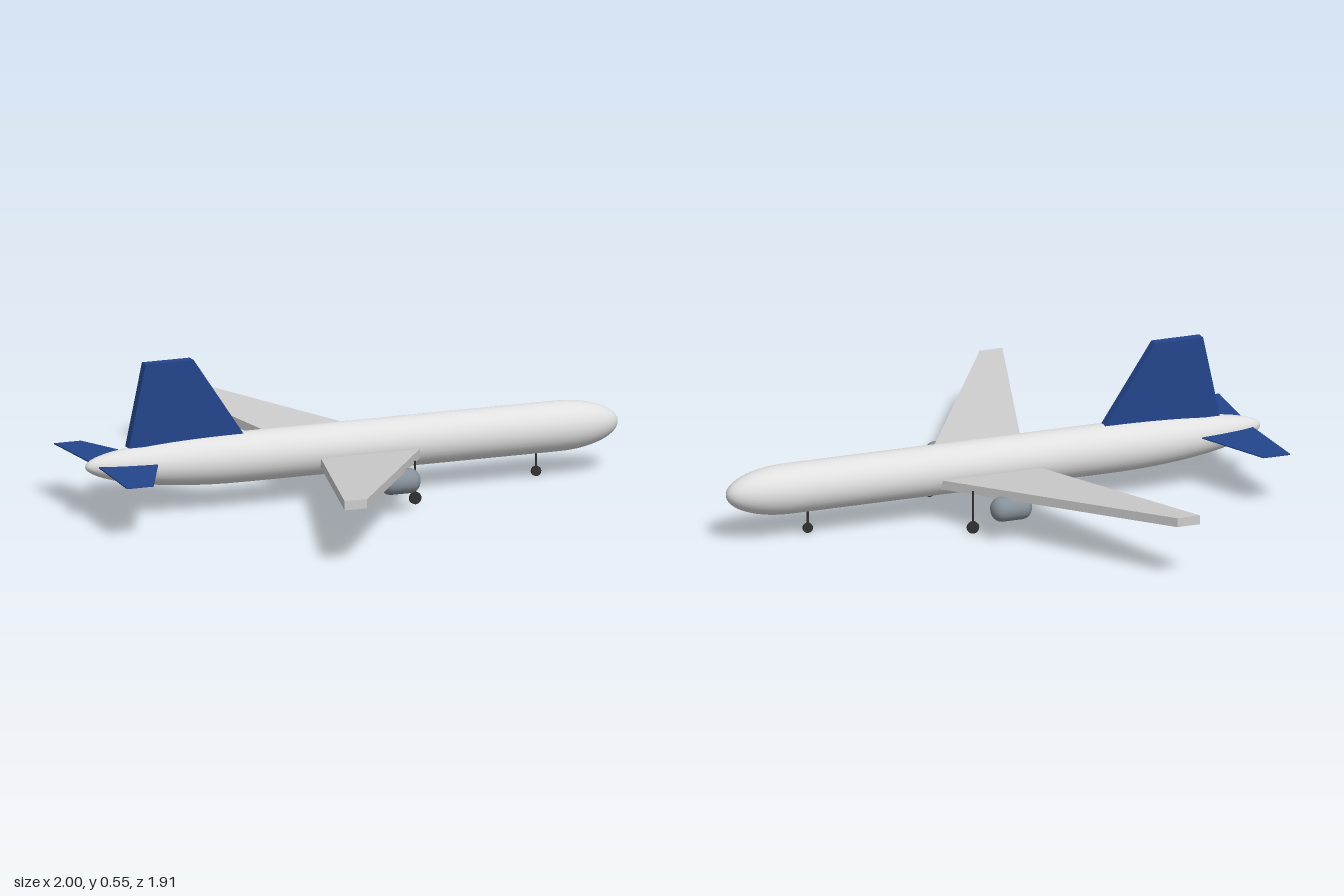
import * as THREE from 'three';

const paint = (name, color, side = THREE.FrontSide) => {
  const m = new THREE.MeshStandardMaterial({ color, side });
  m.name = name;
  return m;
};

// Round body along x: straight tube with an elliptical cap at each end
function roundBody(back, backCap, front, frontCap, radius, sides, steps) {
  const points = [];
  for (let i = 0; i <= steps; i++) {
    const a = (i / steps) * Math.PI / 2;
    points.push(new THREE.Vector2(radius * Math.sin(a), back + backCap * (1 - Math.cos(a))));
  }
  for (let i = 0; i <= steps; i++) {
    const a = (i / steps) * Math.PI / 2;
    points.push(new THREE.Vector2(radius * Math.cos(a), front - frontCap * (1 - Math.sin(a))));
  }
  return new THREE.LatheGeometry(points, sides).rotateZ(-Math.PI / 2);
}

// Flat surface from a plan of [x, z] corners, rising outward by slope
function slab(plan, side, bottom, thickness, slope) {
  const shape = new THREE.Shape(plan.map(([x, z]) => new THREE.Vector2(x, z * side)));
  const geo = new THREE.ExtrudeGeometry(shape, { depth: thickness, bevelEnabled: false });
  geo.rotateX(Math.PI / 2);
  const p = geo.attributes.position;
  for (let i = 0; i < p.count; i++) {
    p.setY(i, p.getY(i) + bottom + thickness + slope * Math.abs(p.getZ(i)));
  }
  geo.computeVertexNormals();
  return geo;
}

export function createModel() {
  const model = new THREE.Group();
  model.name = 'airliner';
  const bodyGrey = paint('bodyGrey', 0xe0e0e0);
  const wingGrey = paint('wingGrey', 0xcccccc);
  const tailBlue = paint('tailBlue', 0x24468c);
  const engineGrey = paint('engineGrey', 0x87909a);
  const gearBlack = paint('gearBlack', 0x303030);

  const add = (name, geo, mat, x = 0, y = 0, z = 0, parent = model) => {
    const mesh = new THREE.Mesh(geo, mat);
    mesh.name = name;
    mesh.position.set(x, y, z);
    parent.add(mesh);
    return mesh;
  };

  // Fuselage, its tail cone lifted slightly toward the tip
  const hull = roundBody(-1, 0.58, 1, 0.23, 0.089, 40, 16);
  const p = hull.attributes.position;
  for (let i = 0; i < p.count; i++) {
    const t = Math.max(0, (-0.42 - p.getX(i)) / 0.58);
    p.setY(i, p.getY(i) + 0.175 + 0.016 * t * t);
  }
  add('fuselage', hull, bodyGrey);

  // Tail fin
  const fin = new THREE.Shape([[-0.843, 0.248], [-0.403, 0.248], [-0.6, 0.545], [-0.78, 0.545]]
    .map(([x, y]) => new THREE.Vector2(x, y)));
  add('tailFin', new THREE.ExtrudeGeometry(fin, { depth: 0.036, bevelEnabled: false }), tailBlue, 0, 0, -0.018);

  // Landing gear: strut with a thin wheel
  const gear = (name, x, z, top, radius, hub) => {
    const group = new THREE.Group();
    group.name = name;
    group.position.set(x, 0, z);
    model.add(group);
    add('strut', new THREE.CylinderGeometry(0.004, 0.004, top - hub, 8), gearBlack, 0, (top + hub) / 2, 0, group);
    add('wheel', new THREE.CylinderGeometry(radius, radius, 0.01, 20).rotateX(Math.PI / 2), gearBlack, 0, hub, 0, group);
  };
  gear('noseGear', 0.695, 0, 0.1, 0.018, 0.02);

  const wingPlan = [[0.231, 0.075], [-0.32, 0.957], [-0.405, 0.957], [-0.145, 0.075]];
  const stabilizerPlan = [[-0.722, 0], [-0.88, 0.345], [-0.98, 0.345], [-0.96, 0]];

  // Paired parts
  for (const [word, side] of [['left', 1], ['right', -1]]) {
    add(word + 'Wing', slab(wingPlan, side, 0.123, 0.033, 0.0855), wingGrey);
    add(word + 'Stabilizer', slab(stabilizerPlan, side, 0.191, 0.004, 0), tailBlue);
    add(word + 'Engine', roundBody(-0.075, 0.037, 0.075, 0.037, 0.044, 20, 6), engineGrey, 0.056, 0.116, 0.318 * side);
    gear(word + 'MainGear', 0.157, 0.21 * side, 0.155, 0.022, 0.022);
  }
  return model;
}
